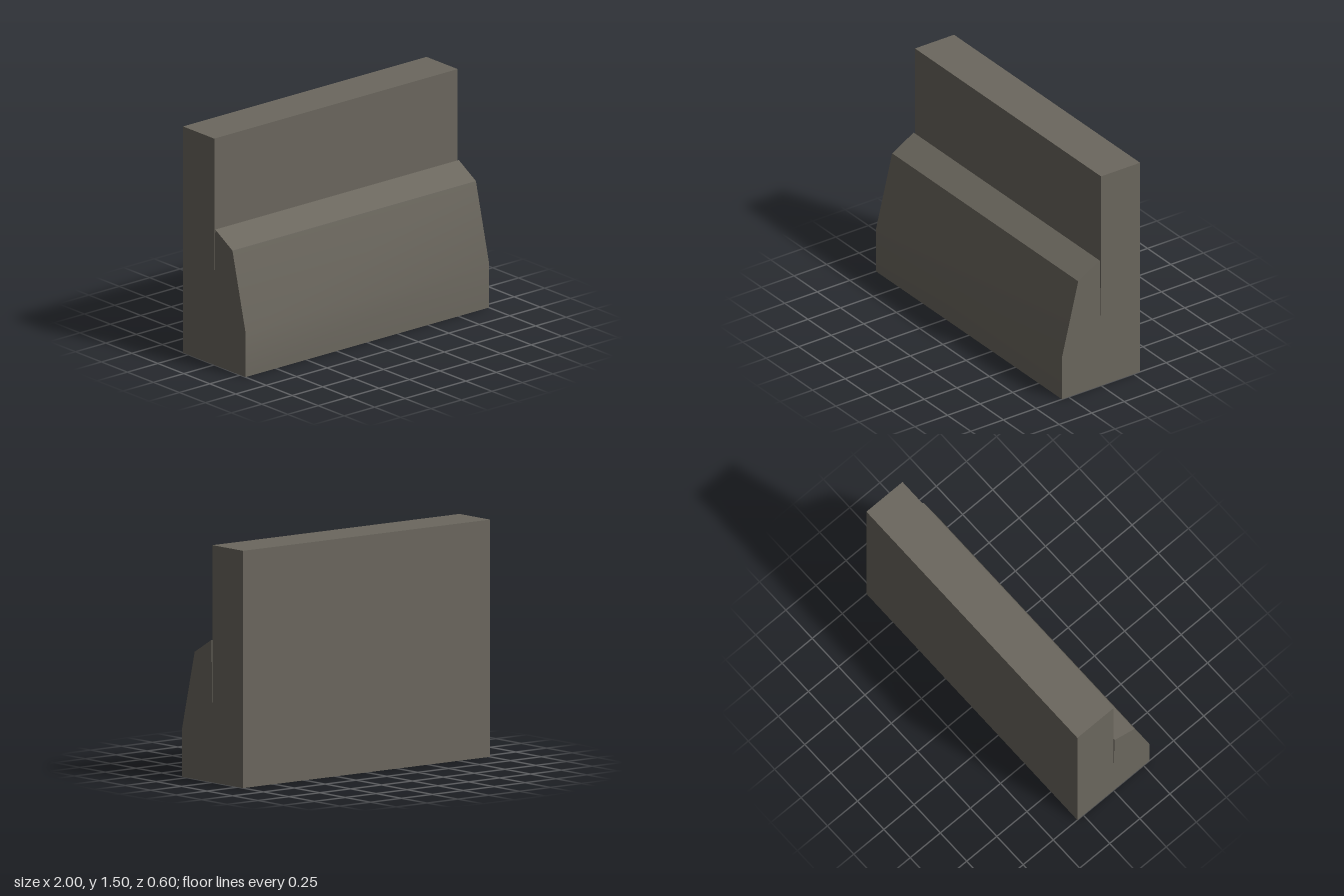
import * as THREE from 'three';
import { toCreasedNormals } from 'three/addons/utils/BufferGeometryUtils.js';

export function createModel() {
  const group = new THREE.Group();
  group.name = 'barrierWall';
  const concrete = new THREE.MeshStandardMaterial({ color: 0x6b675e });
  concrete.name = 'concrete';

  // Side profile as (z, y): sloped footing, narrow slit, upright wall
  const profile = [
    [-0.3, 0], [0.3, 0], [0.3, 0.3], [0.175, 0.805], [0.01, 0.9],
    [0, 0.385], [0, 1.5], [-0.3, 1.5],
  ];
  const shape = new THREE.Shape(profile.map(([z, y]) => new THREE.Vector2(z, y)));

  // Extrude along the length, then turn so the footing faces the front
  const length = 2;
  let geometry = new THREE.ExtrudeGeometry(shape, { depth: length, bevelEnabled: false });
  geometry.translate(0, 0, -length / 2);
  geometry.rotateY(-Math.PI / 2);

  // Blend only the shallow bend low on the front face
  geometry = toCreasedNormals(geometry, Math.PI / 6);

  const wall = new THREE.Mesh(geometry, concrete);
  wall.name = 'wallWithSlopedFooting';
  group.add(wall);
  return group;
}
